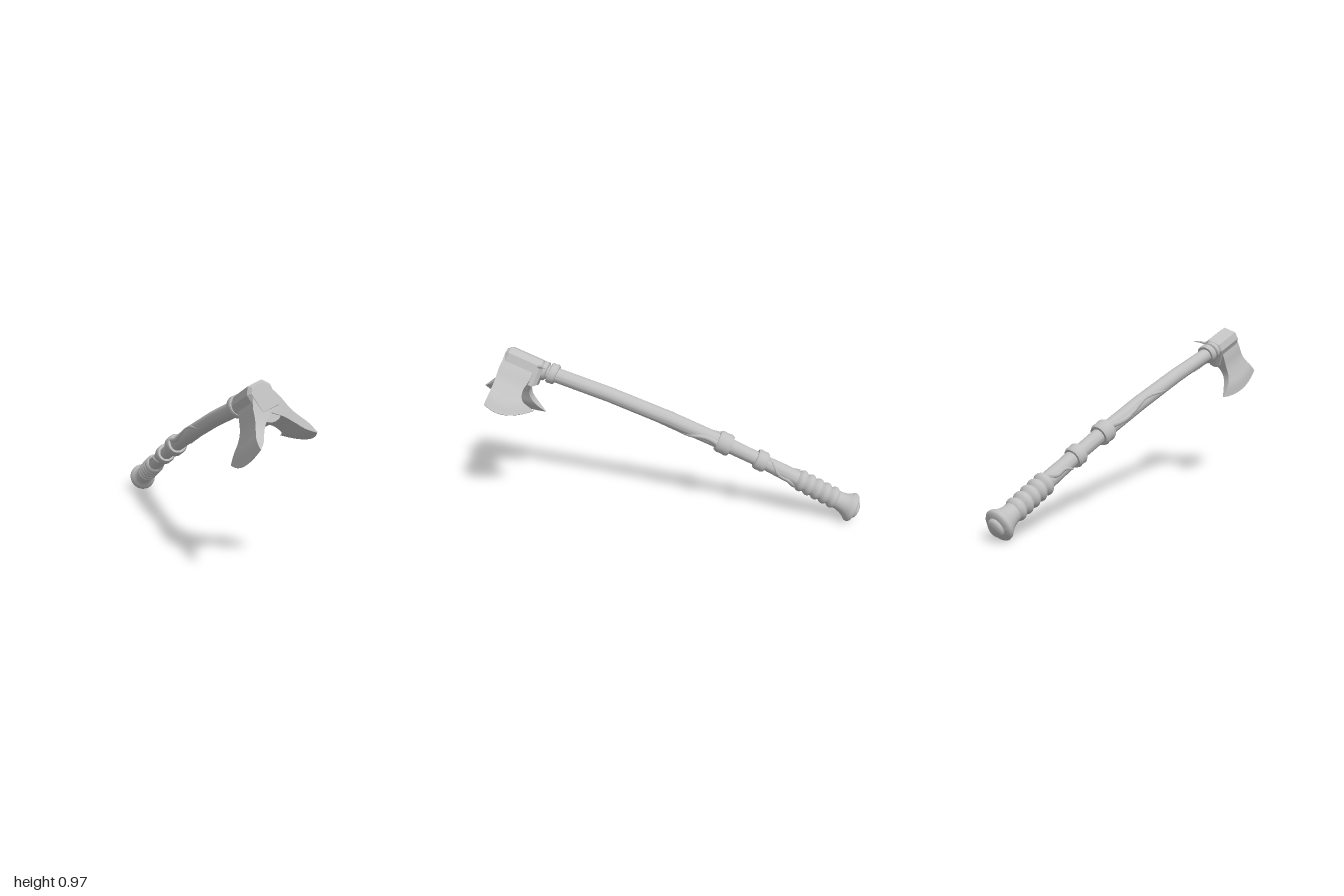
import * as THREE from 'three';
import { toCreasedNormals, mergeVertices } from 'three/addons/utils/BufferGeometryUtils.js';

// Axe frame: d along the handle, p roughly up, q sideways
const d = new THREE.Vector3(0.823, 0.382, 0.42).normalize();
const p = new THREE.Vector3(0, 1, 0).addScaledVector(d, -d.y).normalize();
const q = new THREE.Vector3().crossVectors(d, p);
const headCentre = new THREE.Vector3(0.76, 0.86, 0.36);

// Point on the gently bowed handle axis at a given x, offset sideways by a (q) and b (p)
function onHandle(x, a = 0, b = 0) {
  const w = (x + 0.175) / 0.77;
  const y = 0.087 + (x + 0.945) * 0.4747 + 0.045 * (1 - w * w);
  const z = -0.472 + (x + 0.945) * 0.4974 + 0.005 * (1 - w * w);
  return new THREE.Vector3(x, y, z).addScaledVector(q, a).addScaledVector(p, b);
}

// Move vertices by a rule, then rebuild normals
function warp(geo, rule, crease = 0.7) {
  const pos = geo.attributes.position;
  const v = new THREE.Vector3();
  for (let i = 0; i < pos.count; i++) {
    v.fromBufferAttribute(pos, i);
    const r = rule(v, i);
    pos.setXYZ(i, r.x, r.y, r.z);
  }
  geo.deleteAttribute('normal');
  geo.deleteAttribute('uv');
  return toCreasedNormals(mergeVertices(geo, 1e-5), crease);
}

// Turned part along the handle; profile is [radius, x] pairs
function turned(profile, crease) {
  const pts = profile.map(([r, x]) => new THREE.Vector2(r, x));
  return warp(new THREE.LatheGeometry(pts, 32), v => onHandle(v.y, v.x, v.z), crease);
}

// Tube whose radius follows a function of t
function taperedTube(points, radius, segments, radiusAt) {
  const curve = new THREE.CatmullRomCurve3(points);
  const geo = new THREE.TubeGeometry(curve, segments, radius, 8);
  const uv = geo.attributes.uv.clone();
  return warp(geo, (v, i) => {
    const t = uv.getX(i);
    return v.sub(curve.getPointAt(t)).multiplyScalar(radiusAt(t)).add(curve.getPointAt(t));
  }, 1.2);
}

// Blade between two side curves, x outward from the handle, y along it
function blade(lower, upper, bulge) {
  const curve = pts => new THREE.SplineCurve(pts.map(([u, y]) => new THREE.Vector2(u, y)));
  const lo = curve(lower), up = curve(upper);
  const thickness = new THREE.SplineCurve([
    [0, 0.06], [0.25, 0.046], [0.45, 0.027], [0.65, 0.021], [0.84, 0.018], [1, 0.002],
  ].map(a => new THREE.Vector2(...a)));
  return warp(new THREE.BoxGeometry(1, 2, 2, 24, 16, 1), v => {
    const s = v.x + 0.5;
    const pt = lo.getPoint(s).lerp(up.getPoint(s), (v.y + 1) / 2);
    const u = pt.x + bulge * s * s * (1 - v.y * v.y);
    return new THREE.Vector3(u, pt.y, v.z * thickness.getPoint(s).y);
  }, 0.6);
}

export function createModel() {
  const model = new THREE.Group();
  const steel = new THREE.MeshStandardMaterial({ color: 0xc0c0c0 });
  steel.name = 'light grey';
  const add = (parent, name, geo) => {
    const mesh = new THREE.Mesh(geo, steel);
    mesh.name = name;
    parent.add(mesh);
    return mesh;
  };

  // Handle shaft
  add(model, 'shaft', turned([
    [0, -0.9], [0.046, -0.9], [0.046, -0.7], [0.045, -0.6], [0.04, -0.48],
    [0.043, -0.28], [0.044, 0], [0.043, 0.3], [0.042, 0.66], [0, 0.66],
  ]));

  // Flared pommel with end knob
  add(model, 'pommel', turned([
    [0, -0.972], [0.042, -0.972], [0.05, -0.966], [0.052, -0.957], [0.078, -0.953], [0.086, -0.945],
    [0.085, -0.936], [0.072, -0.921], [0.06, -0.902], [0.053, -0.88], [0.052, -0.855], [0, -0.855],
  ], 0.9));

  // Ribbed grip wrap
  const wrap = [[0.04, -0.87]];
  for (let i = 0; i <= 40; i++) {
    const t = i / 40;
    wrap.push([0.05 + 0.013 * Math.abs(Math.sin(t * Math.PI * 5)), -0.865 + 0.205 * t]);
  }
  wrap.push([0.04, -0.655]);
  add(model, 'gripWrap', turned(wrap));

  // Collars round the handle
  const collar = (x, r, w) => turned([
    [0.035, x - w], [r * 0.88, x - w], [r, x - w * 0.6], [r * 0.96, x],
    [r, x + w * 0.6], [r * 0.88, x + w], [0.035, x + w],
  ], 0.9);
  [[-0.47, 0.06, 0.026], [-0.28, 0.064, 0.034], [0.593, 0.06, 0.02], [0.637, 0.056, 0.016]]
    .forEach(([x, r, w], i) => add(model, `collar${i + 1}`, collar(x, r, w)));

  // Vines winding over the shaft: [start x, end x, start angle, sweep, wave]
  [[-0.66, -0.48, 0.4, 2.6, 0.3], [-0.66, -0.48, 3.5, 2.4, 0.3],
    [-0.25, 0.3, 0.9, 1.1, 0.45], [-0.25, 0.12, -1.6, -1.6, 0.4]].forEach(([x0, x1, a0, sweep, wave], i) => {
    const pts = [];
    for (let k = 0; k <= 16; k++) {
      const t = k / 16;
      const a = a0 + sweep * t + wave * Math.sin(t * Math.PI * 3);
      pts.push(onHandle(x0 + (x1 - x0) * t, 0.038 * Math.sin(a), 0.038 * Math.cos(a)));
    }
    add(model, `vine${i + 1}`, taperedTube(pts, 0.018, 48, t => 1 - 0.75 * t));
  });

  // Curved thorn behind the head
  add(model, 'thorn', taperedTube([
    new THREE.Vector3(0.69, 0.85, 0.31), new THREE.Vector3(0.675, 0.876, 0.275),
    new THREE.Vector3(0.662, 0.886, 0.24), new THREE.Vector3(0.648, 0.891, 0.198),
  ], 0.015, 16, t => 1 - 0.93 * t));

  // Head: local x = q, y = d, z = p
  const head = new THREE.Group();
  head.name = 'head';
  head.quaternion.setFromRotationMatrix(new THREE.Matrix4().makeBasis(q, d, p));
  head.position.copy(headCentre);
  model.add(head);

  // Chamfered socket block
  const outline = new THREE.Shape([
    [-0.044, 0.06], [-0.05, -0.04], [-0.032, -0.064], [0.032, -0.064], [0.05, -0.04], [0.044, 0.06],
  ].map(a => new THREE.Vector2(...a)));
  const block = new THREE.ExtrudeGeometry(outline, {
    depth: 0.19, bevelThickness: 0.018, bevelSize: 0.016, bevelSegments: 1,
  });
  block.rotateX(-Math.PI / 2).translate(0, -0.11, 0).rotateY(0.4);
  add(head, 'socket', block);

  // Broad blade and hooked blade
  const broad = add(head, 'broadBlade', blade(
    [[0.0, -0.085], [0.08, -0.088], [0.16, -0.093], [0.215, -0.13], [0.27, -0.212]],
    [[0.0, 0.095], [0.08, 0.098], [0.15, 0.11], [0.21, 0.135], [0.27, 0.17]], 0.042));
  broad.rotation.y = 1.245;
  const hooked = add(head, 'hookedBlade', blade(
    [[0.0, -0.085], [0.08, -0.085], [0.15, -0.078], [0.205, -0.105], [0.22, -0.178]],
    [[0.0, 0.095], [0.08, 0.095], [0.16, 0.085], [0.23, 0.08], [0.305, 0.078]], 0.05));
  hooked.rotation.y = 2.525;

  // Fillet joining the roots of the two blades
  const web = new THREE.CylinderGeometry(0.06, 0.055, 0.17, 16);
  web.translate(-0.02, 0.003, -0.06);
  add(head, 'bladeWeb', web);

  return model;
}
